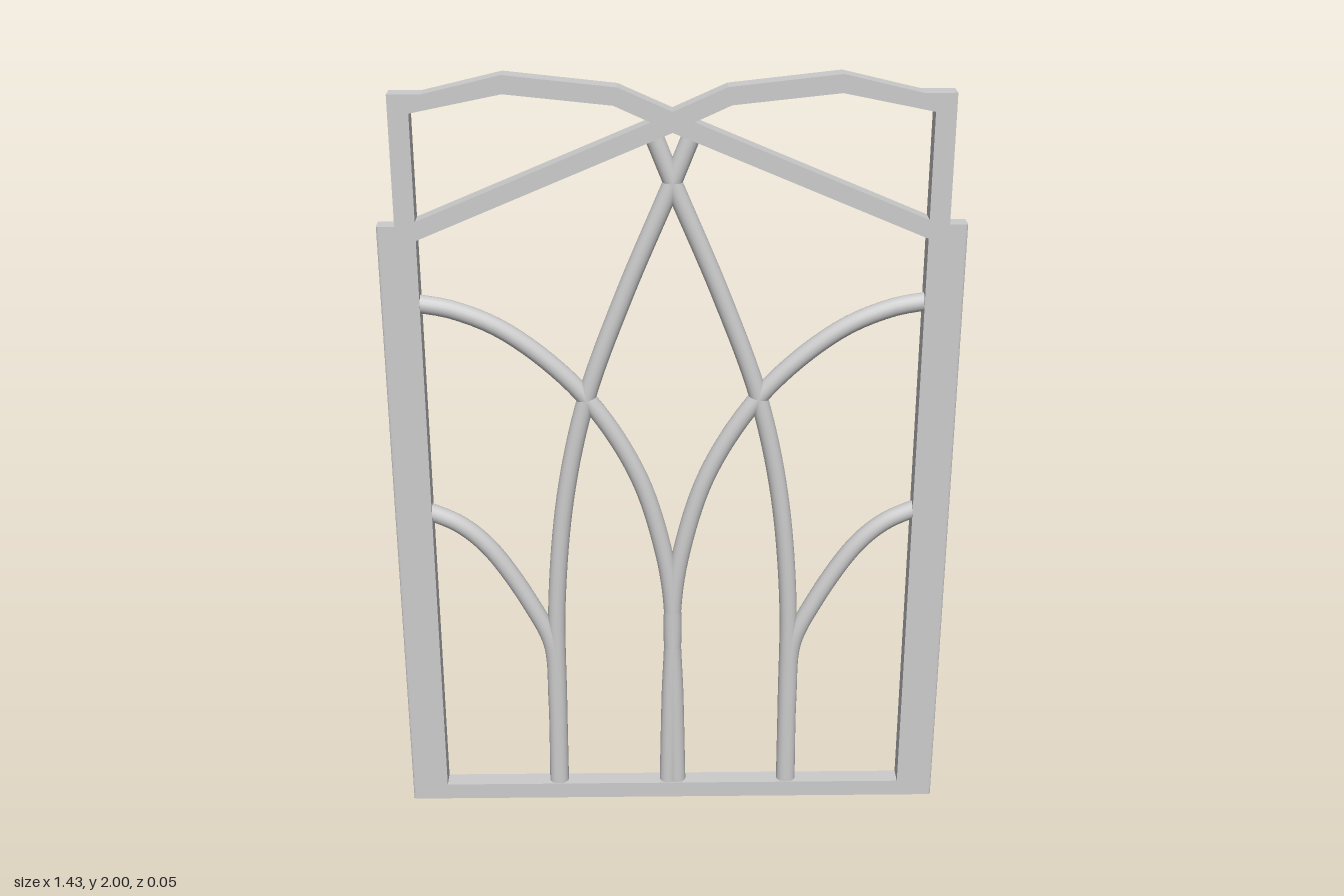
import * as THREE from 'three';

const DEPTH = 0.05;
const TUBE_RADIUS = 0.023;

export function createModel() {
  const group = new THREE.Group();
  const material = new THREE.MeshStandardMaterial({ color: 0xcccccc });
  const add = (name, geometry) => {
    const mesh = new THREE.Mesh(geometry, material);
    mesh.name = name;
    group.add(mesh);
    return mesh;
  };
  const vec2 = (points) => points.map(([x, y]) => new THREE.Vector2(x, y));
  const flip = (points, side) => points.map(([x, y]) => [x * side, y]);

  // Side posts: a plan section with softened outer corners, extruded upward
  const r = 0.008, inner = 0.62, outer = 0.715, h = DEPTH / 2;
  for (const side of [1, -1]) {
    const plan = new THREE.Shape();
    plan.moveTo(side * inner, -h);
    plan.lineTo(side * (outer - r), -h);
    plan.quadraticCurveTo(side * outer, -h, side * outer, -h + r);
    plan.lineTo(side * outer, h - r);
    plan.quadraticCurveTo(side * outer, h, side * (outer - r), h);
    plan.lineTo(side * inner, h);
    plan.closePath();
    const post = new THREE.ExtrudeGeometry(plan, { depth: 1.635, bevelEnabled: false, curveSegments: 4 });
    post.rotateX(-Math.PI / 2);
    add(side > 0 ? 'leftPost' : 'rightPost', post);
  }

  // Bottom rail
  add('bottomRail', new THREE.BoxGeometry(2 * inner, 0.045, DEPTH)).position.y = 0.0225;

  // Crown: twin humped top rails, short posts and diagonal braces in one cut-out
  const half = [[0.62, 1.6], [0.62, 1.635], [0.67, 1.635], [0.67, 1.955], [0.59, 1.955], [0.4, 2], [0.13, 1.97]];
  const crown = new THREE.Shape(vec2([[0, 1.862], ...half, [0, 1.912], ...flip(half, -1).reverse()]));
  const opening = [[0.62, 1.647], [0.62, 1.91], [0.4, 1.955], [0.14, 1.927], [0.052, 1.887]];
  for (const side of [1, -1]) crown.holes.push(new THREE.Path(vec2(flip(opening, side))));
  const crownGeometry = new THREE.ExtrudeGeometry(crown, { depth: DEPTH, bevelEnabled: false });
  crownGeometry.translate(0, 0, -h);
  add('crown', crownGeometry);

  // Curved round bars, each mirrored to the other half
  const bars = {
    pointedArchBar: [[0.31, 0.02], [0.309, 0.3], [0.306, 0.6], [0.275, 0.915], [0.217, 1.18],
      [0.12, 1.45], [0, 1.737], [-0.055, 1.875]],
    middleArchBar: [[0.013, 0.02], [0.007, 0.3], [0, 0.57], [0.026, 0.757], [0.095, 0.98],
      [0.23, 1.195], [0.41, 1.355], [0.54, 1.415], [0.64, 1.435]],
    lowArchBar: [[0.316, 0.02], [0.314, 0.3], [0.322, 0.47], [0.37, 0.585], [0.475, 0.757],
      [0.55, 0.828], [0.64, 0.872]],
  };
  for (const [name, points] of Object.entries(bars)) {
    for (const side of [1, -1]) {
      const path = new THREE.CatmullRomCurve3(flip(points, side).map(([x, y]) => new THREE.Vector3(x, y, 0)));
      add(name + (side > 0 ? 'Left' : 'Right'), new THREE.TubeGeometry(path, 56, TUBE_RADIUS, 16));
    }
  }
  return group;
}
